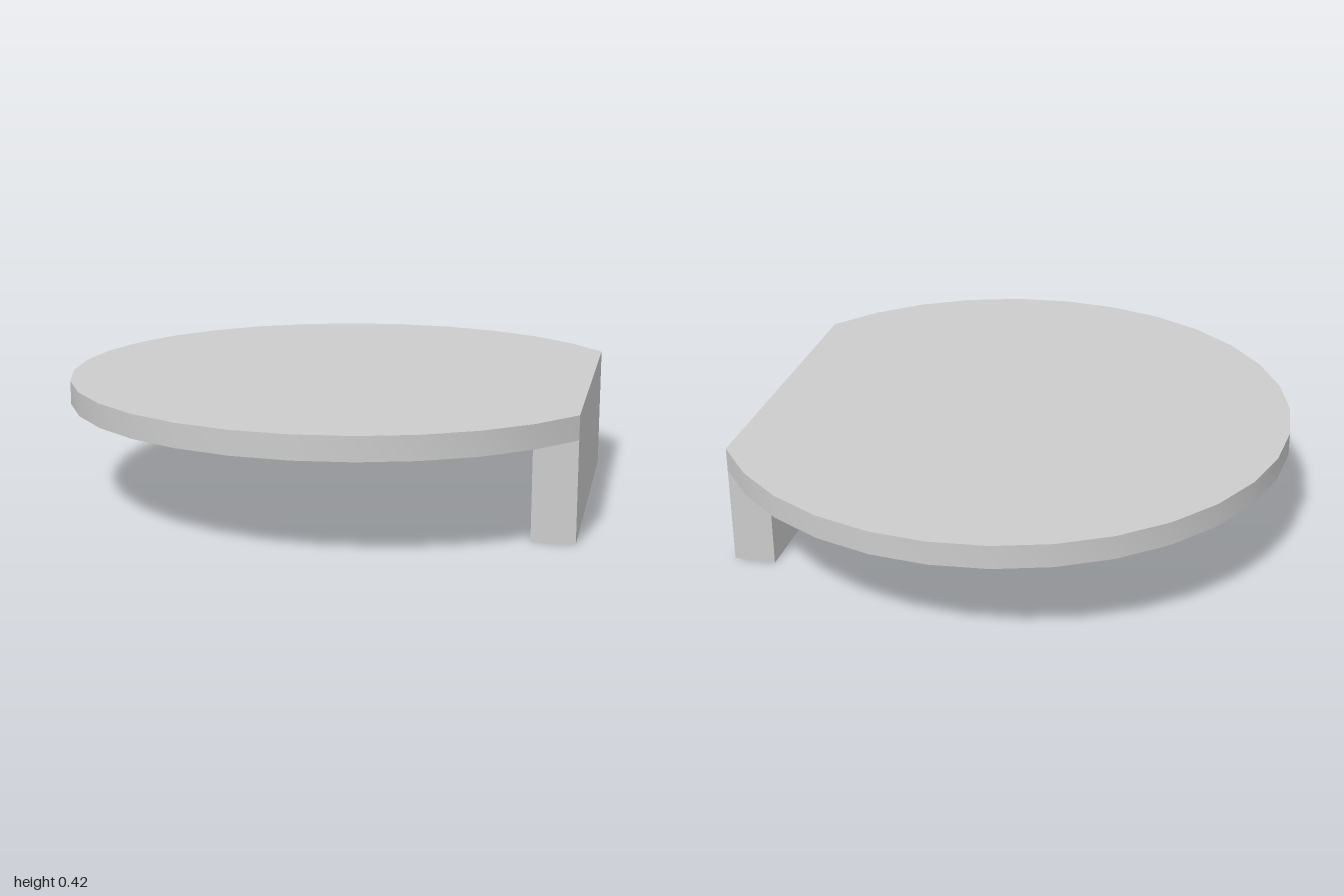
import * as THREE from 'three';
import { toCreasedNormals } from 'three/addons/utils/BufferGeometryUtils.js';

const SEGMENTS = 32, CUT = 3; // the flat edge replaces three segments each side of +x
const STEP = (Math.PI * 2) / SEGMENTS;
const CENTER_X = (1 - Math.cos(CUT * STEP)) / 2;
const EDGE_X = CENTER_X + Math.cos(CUT * STEP);
const EDGE_HALF = Math.sin(CUT * STEP);
const UNDERSIDE = 0.343, TOP = 0.424, LEG_DEPTH = 0.145;

export function createModel() {
  const group = new THREE.Group();
  const material = new THREE.MeshStandardMaterial({ color: 0xcccccc });

  // Round top with one straight edge
  const outline = [];
  for (let i = CUT; i <= SEGMENTS - CUT; i++) {
    outline.push(new THREE.Vector2(CENTER_X + Math.cos(i * STEP), Math.sin(i * STEP)));
  }
  const slab = new THREE.ExtrudeGeometry(new THREE.Shape(outline), {
    depth: TOP - UNDERSIDE,
    bevelEnabled: false,
  });
  slab.rotateX(-Math.PI / 2);
  const top = new THREE.Mesh(toCreasedNormals(slab, 0.4), material);
  top.name = 'roundTop';
  top.position.y = UNDERSIDE;
  group.add(top);

  // Support panel flush with the straight edge
  const panel = new THREE.Mesh(new THREE.BoxGeometry(LEG_DEPTH, UNDERSIDE, EDGE_HALF * 2), material);
  panel.name = 'supportPanel';
  panel.position.set(EDGE_X - LEG_DEPTH / 2, UNDERSIDE / 2, 0);
  group.add(panel);

  return group;
}
